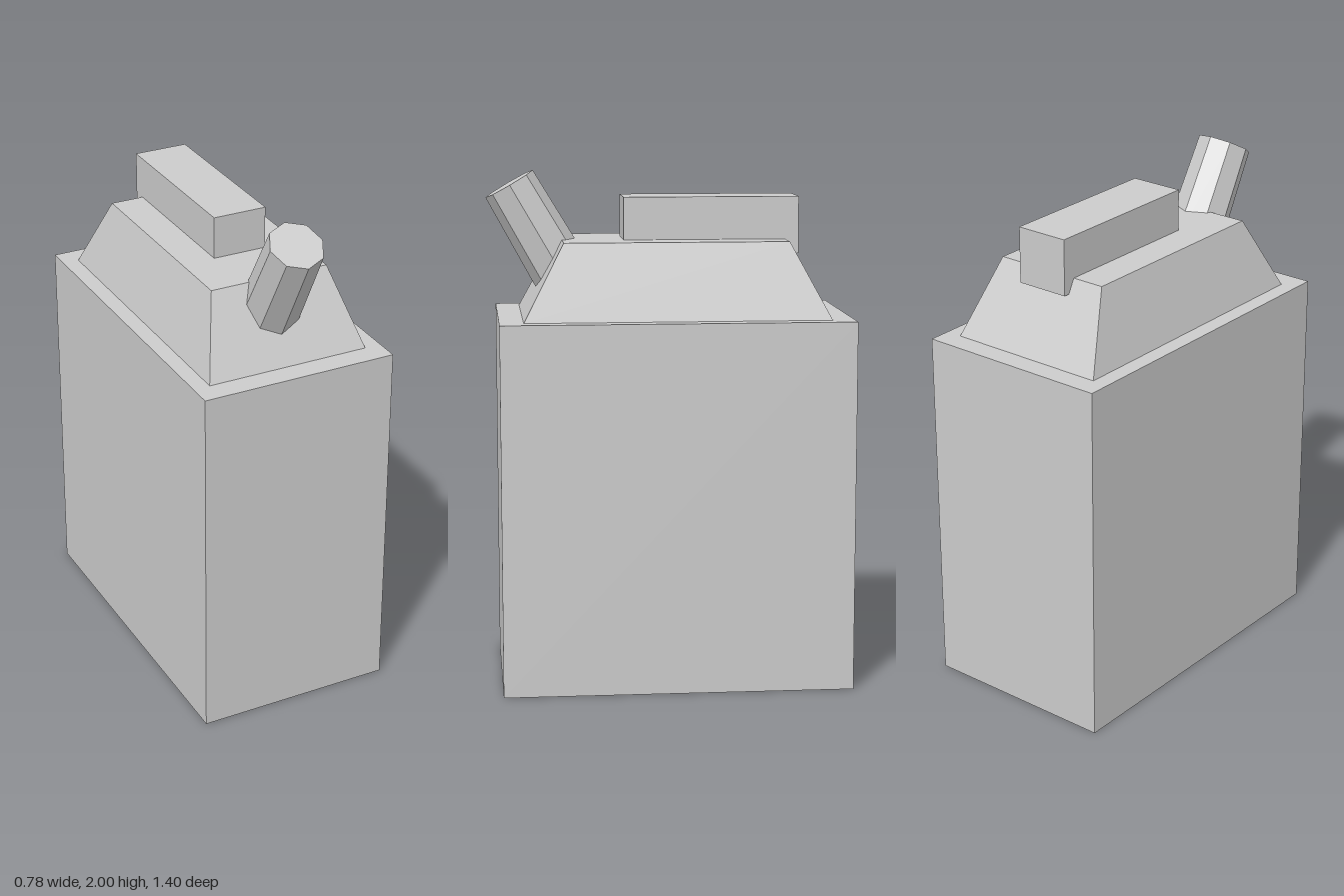
import * as THREE from 'three';

const grey = new THREE.MeshStandardMaterial({ color: 0xcccccc, flatShading: true });
grey.name = 'light grey';

function addPart(group, name, geometry) {
  const mesh = new THREE.Mesh(geometry, grey);
  mesh.name = name;
  group.add(mesh);
  return mesh;
}

// Box given by its half width and its y and z ranges
function block(halfX, y0, y1, z0, z1) {
  return new THREE.BoxGeometry(halfX * 2, y1 - y0, z1 - z0)
    .translate(0, (y0 + y1) / 2, (z0 + z1) / 2);
}

// Box whose top face is pulled in to a smaller rectangle
function taperedBlock(y0, y1, bottom, top) {
  const geometry = new THREE.BoxGeometry(1, 1, 1);
  const p = geometry.attributes.position;
  for (let i = 0; i < p.count; i++) {
    const up = p.getY(i) > 0;
    const end = up ? top : bottom;
    p.setXYZ(i, Math.sign(p.getX(i)) * end.halfX, up ? y1 : y0, p.getZ(i) > 0 ? end.front : end.back);
  }
  geometry.computeVertexNormals();
  return geometry;
}

export function createModel() {
  const model = new THREE.Group();
  model.name = 'fuelCan';

  addPart(model, 'body', block(0.39, 0, 1.44, -0.7, 0.66));

  addPart(model, 'shoulder', taperedBlock(1.44, 1.735,
    { halfX: 0.325, front: 0.567, back: -0.613 },
    { halfX: 0.239, front: 0.41, back: -0.457 }));

  // Handle overhangs the back of the shoulder
  addPart(model, 'handle', block(0.107, 1.68, 1.9, -0.51, 0.172));

  // Eight-sided spout leaning forward, its base sunk into the shoulder
  const length = 0.45;
  const spout = addPart(model, 'spout',
    new THREE.CylinderGeometry(0.106, 0.116, length, 8).translate(0, -length / 2, 0));
  spout.position.set(0, 1.948, 0.609);
  spout.rotation.x = Math.PI / 6;

  return model;
}
